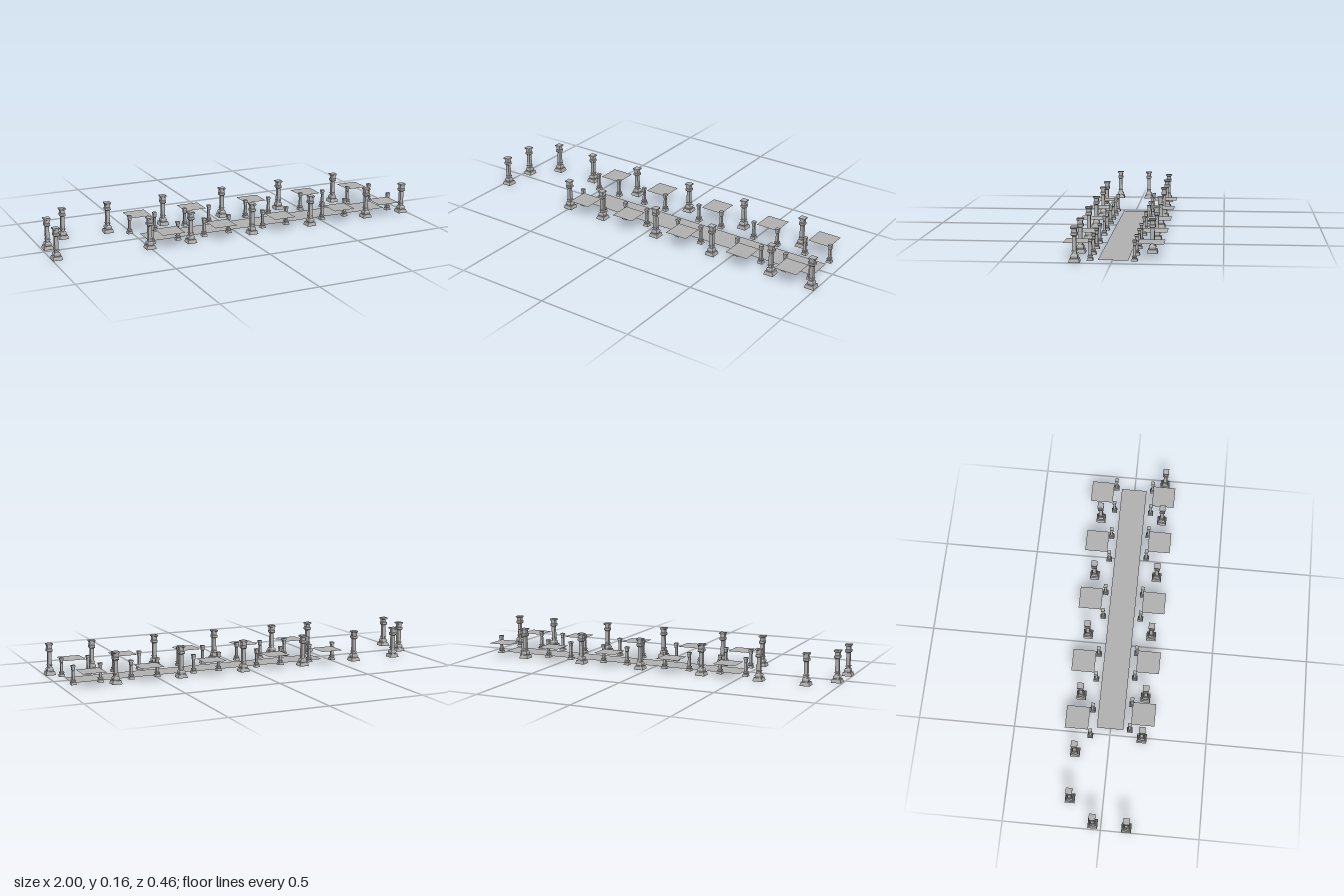
import * as THREE from 'three';

const stone = new THREE.MeshStandardMaterial({ color: 0xb2b2b2, flatShading: true, side: THREE.DoubleSide });
stone.name = 'grey stone';

// Square turned column from [half width, height] pairs
function squareColumn(profile) {
  const points = profile.map(([half, y]) => new THREE.Vector2(half * Math.SQRT2, y));
  return new THREE.LatheGeometry(points, 4).rotateY(Math.PI / 4);
}

// Tall column: plinth, stepped base, ringed shaft, capital
const columnGeometry = squareColumn([
  [0, 0], [0.025, 0], [0.0245, 0.005], [0.021, 0.018], [0.0145, 0.018],
  [0.0165, 0.025], [0.0165, 0.031], [0.0125, 0.038], [0.0098, 0.039],
  [0.0098, 0.047], [0.0122, 0.048], [0.0122, 0.052], [0.0096, 0.053],
  [0.009, 0.118], [0.0115, 0.12], [0.0145, 0.123], [0.0145, 0.134],
  [0.0115, 0.136], [0.0115, 0.152], [0.0155, 0.154], [0.0165, 0.157],
  [0.0165, 0.162], [0, 0.162],
]);

// Short post with the same character
const postGeometry = squareColumn([
  [0, 0], [0.0145, 0], [0.014, 0.003], [0.0118, 0.012], [0.0075, 0.013],
  [0.0108, 0.018], [0.0108, 0.023], [0.0065, 0.025], [0.0058, 0.07],
  [0.0075, 0.072], [0.0075, 0.085], [0.0095, 0.088], [0.0095, 0.097], [0, 0.097],
]);

export function createModel() {
  const model = new THREE.Group();
  model.name = 'colonnade';

  const add = (name, geometry, x, y, z) => {
    const mesh = new THREE.Mesh(geometry, stone);
    mesh.name = name;
    mesh.position.set(x, y, z);
    model.add(mesh);
  };

  // Tall columns along both sides and at the open end
  for (const x of [-0.85, -0.607, -0.298, 0.045, 0.389, 0.734]) add('backColumn', columnGeometry, x, 0, -0.17);
  for (const x of [-0.503, -0.281, 0.064, 0.407, 0.749, 0.973]) add('frontColumn', columnGeometry, x, 0, 0.166);
  add('endColumn', columnGeometry, -0.969, 0, -0.042);
  add('endColumn', columnGeometry, -0.975, 0, 0.13);

  // Stalls: a flat canopy with a pair of posts on its inner side
  const canopyGeometry = new THREE.PlaneGeometry(0.12, 0.12).rotateX(-Math.PI / 2);
  const stalls = (name, centres, postZ, canopyZ) => {
    for (const x of centres) {
      for (const side of [-1, 1]) add(name + 'Post', postGeometry, x + side * 0.0695, 0, postZ);
      add(name + 'Canopy', canopyGeometry, x, 0.076, canopyZ);
    }
  };
  stalls('back', [-0.442, -0.132, 0.224, 0.561, 0.86], -0.101, -0.173);
  stalls('front', [-0.394, -0.109, 0.228, 0.585, 0.86], 0.1, 0.165);

  // Long walkway lying on the ground
  add('walkway', new THREE.PlaneGeometry(1.393, 0.138).rotateX(-Math.PI / 2), 0.23, 0.001, -0.003);

  return model;
}
